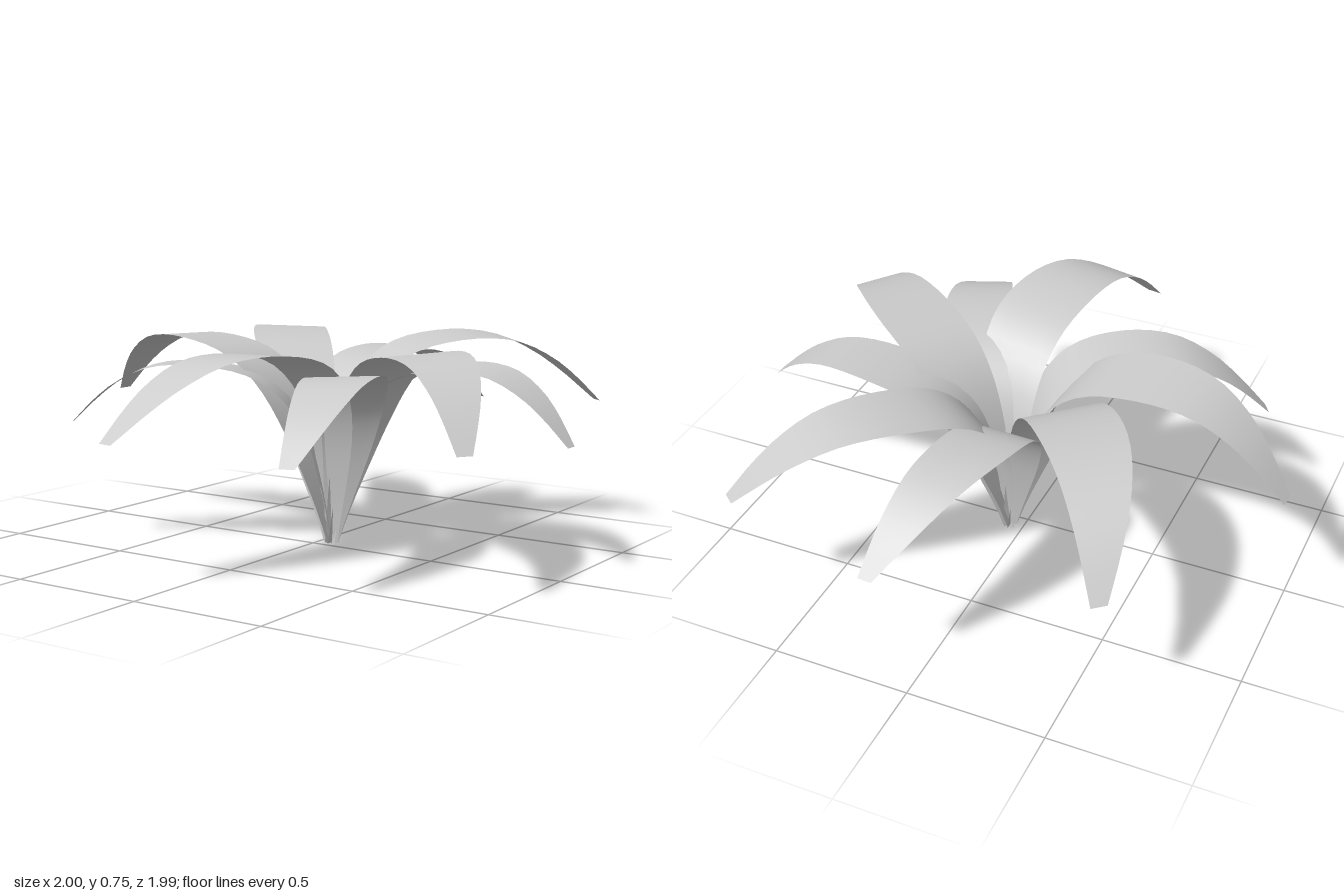
import * as THREE from 'three';

const material = new THREE.MeshStandardMaterial({ color: 0xcccccc, side: THREE.DoubleSide });

// Arching spine of a leaf: near-upright stem, rounded crest, drooping tip (radius, height)
const spine = new THREE.CatmullRomCurve3(
  [[0, 0], [0.035, 0.22], [0.09, 0.445], [0.155, 0.58], [0.24, 0.668], [0.33, 0.715], [0.45, 0.742],
    [0.6, 0.75], [0.73, 0.728], [0.86, 0.662], [0.95, 0.59], [1.05, 0.49]]
    .map(([r, y]) => new THREE.Vector3(r, y, 0)));

// Half-leaf blade: one edge runs straight along the spine, the other bulges sideways
function leafGeometry() {
  const geometry = new THREE.PlaneGeometry(1, 1, 28, 4);
  const pos = geometry.attributes.position;
  for (let i = 0; i < pos.count; i++) {
    const t = pos.getX(i) + 0.5;
    const s = pos.getY(i) + 0.5;
    const swell = Math.sin(Math.PI * Math.pow(t, 1.15));
    const p = spine.getPointAt(t);
    pos.setXYZ(i, p.x, p.y - 0.012 * (1 - s) * swell, 0.028 - s * (0.056 + 0.235 * swell));
  }
  geometry.computeVertexNormals();
  return geometry;
}

export function createModel() {
  const model = new THREE.Group();
  model.name = 'leafyPlant';
  const geometry = leafGeometry();

  // Each tier: leaf headings in degrees, clockwise from +x seen from above
  const addTier = (name, scale, headings) => {
    const tier = new THREE.Group();
    tier.name = name;
    // The common root sits slightly off the middle of the spread
    tier.position.set(0.05, 0, -0.05);
    headings.forEach((deg, i) => {
      const leaf = new THREE.Mesh(geometry, material);
      leaf.name = `${name}Leaf${i + 1}`;
      leaf.rotation.y = -THREE.MathUtils.degToRad(deg);
      leaf.scale.setScalar(scale);
      tier.add(leaf);
    });
    model.add(tier);
  };
  addTier('upper', 1, [-50.5, 33.5, 99.5, 183.5, 230.5]);
  addTier('lower', 0.905, [-85, -0.4, 64.5, 148.7]);
  return model;
}
